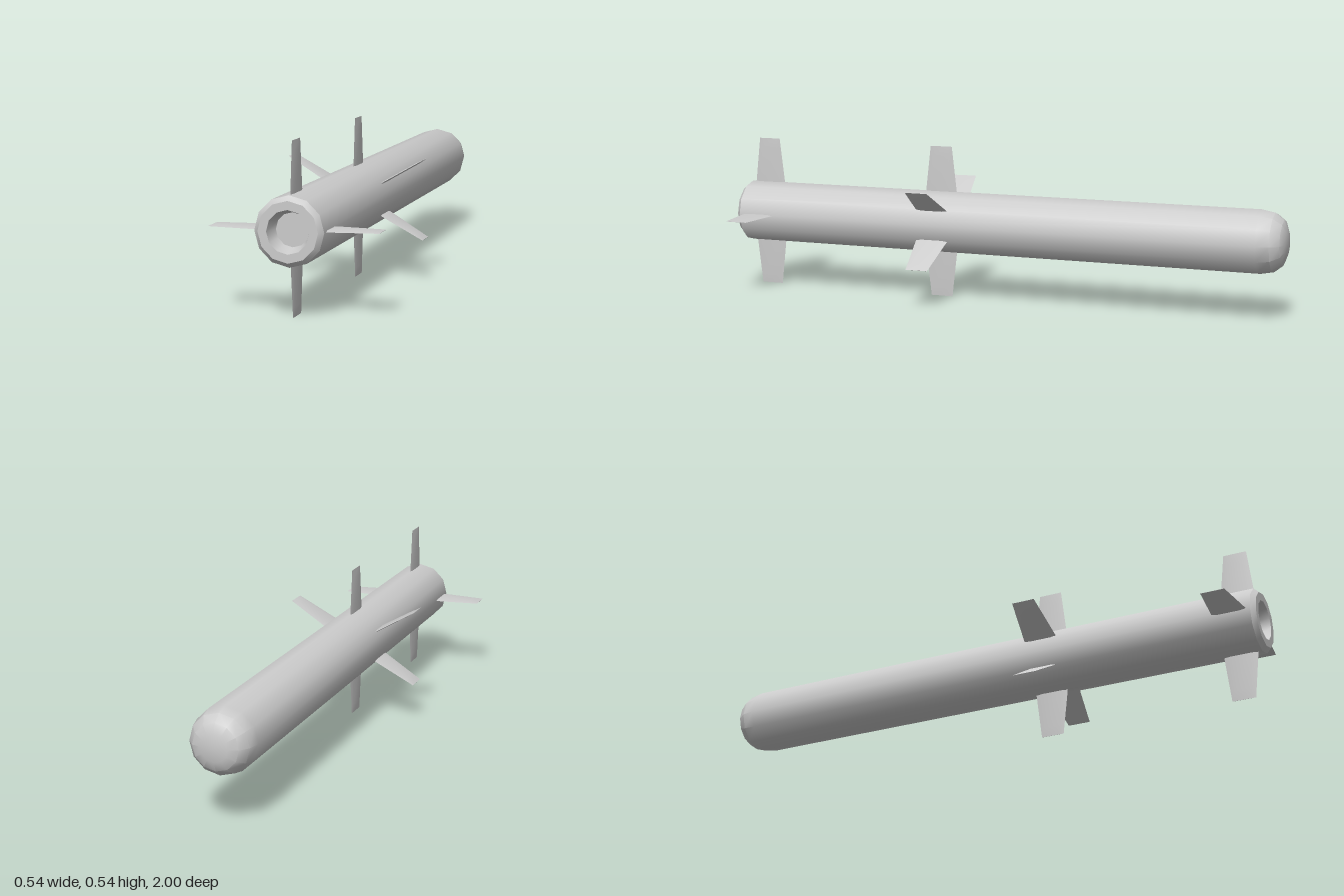
import * as THREE from 'three';
import { toCreasedNormals } from 'three/addons/utils/BufferGeometryUtils.js';

const AXIS_Y = 0.272;
const grey = new THREE.MeshStandardMaterial({ color: 0xcccccc });

// Twelve-sided shell, turned from [radius, z] points from nose to nozzle
function turned(name, profile) {
  const lathe = new THREE.LatheGeometry(profile.map(([r, z]) => new THREE.Vector2(r, z)), 12);
  lathe.rotateX(Math.PI / 2);
  const mesh = new THREE.Mesh(toCreasedNormals(lathe, 0.6), grey);
  mesh.name = name;
  return mesh;
}

// Thin tapered blade along +y with sharp leading, trailing and tip edges
function finGeometry() {
  // [radius, half chord, half thickness]
  const sections = [[0.09, 0.0605, 0.003], [0.236, 0.0437, 0.0028], [0.268, 0.04, 0.0004]];
  const positions = [];
  const index = [];
  for (const [r, chord, t] of sections) {
    const inner = chord * 0.65;
    positions.push(0, r, chord, t, r, inner, t, r, -inner, 0, r, -chord, -t, r, -inner, -t, r, inner);
  }
  for (let s = 0; s < 2; s++) {
    for (let i = 0; i < 6; i++) {
      const a = s * 6 + i;
      const b = s * 6 + (i + 1) % 6;
      index.push(a, b, b + 6, a, b + 6, a + 6);
    }
  }
  // Tip cap
  for (let i = 1; i < 5; i++) index.push(12, 12 + i, 13 + i);
  const geometry = new THREE.BufferGeometry();
  geometry.setAttribute('position', new THREE.Float32BufferAttribute(positions, 3));
  geometry.setIndex(index);
  return toCreasedNormals(geometry, 0.5);
}

// Ring of evenly spaced fins around the body
function finRing(name, count, z, geometry) {
  const ring = new THREE.Group();
  ring.name = name;
  for (let i = 0; i < count; i++) {
    const fin = new THREE.Mesh(geometry, grey);
    fin.name = `${name}Fin${i + 1}`;
    fin.rotation.z = (i / count) * Math.PI * 2;
    ring.add(fin);
  }
  ring.position.z = z;
  return ring;
}

export function createModel() {
  const model = new THREE.Group();
  model.name = 'finnedRocket';

  // Rounded nose, straight body and chamfered tail
  model.add(turned('body', [
    [0, -1], [0.045, -0.997], [0.077, -0.985], [0.1, -0.955], [0.109, -0.91],
    [0.109, 0.985], [0.094, 1],
  ]));
  // Rear ring with the recessed nozzle
  model.add(turned('nozzle', [[0.094, 1], [0.067, 1], [0.053, 0.95], [0, 0.95]]));

  const fin = finGeometry();
  model.add(finRing('tail', 4, 0.913, fin));
  model.add(finRing('middle', 6, 0.237, fin));

  for (const part of model.children) part.position.y = AXIS_Y;
  return model;
}
